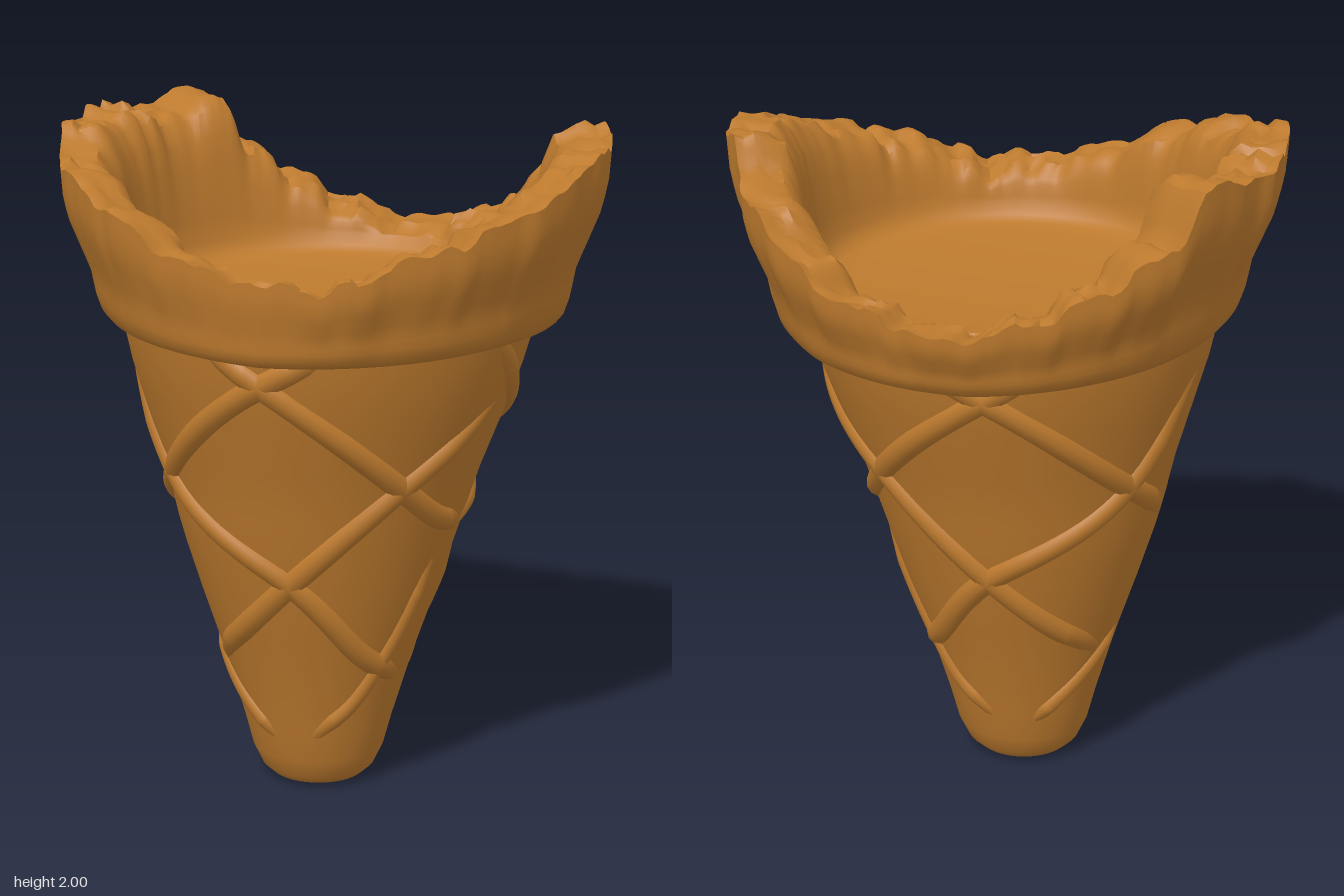
import * as THREE from 'three';
import { toCreasedNormals } from 'three/addons/utils/BufferGeometryUtils.js';

const { lerp, degToRad } = THREE.MathUtils;

// piecewise-linear lookup in [[key, value], ...]
function sample(table, k) {
  if (k <= table[0][0]) return table[0][1];
  for (let i = 1; i < table.length; i++) {
    const [a, va] = table[i - 1], [b, vb] = table[i];
    if (k <= b) return lerp(va, vb, (k - a) / (b - a));
  }
  return table[table.length - 1][1];
}

// repeatable value noise round the circle, -1..1, with n cells
function noise(turn, n, seed) {
  const hash = (i) => {
    const s = Math.sin((((i % n) + n) % n) * 127.1 + seed * 311.7) * 43758.5453;
    return (s - Math.floor(s)) * 2 - 1;
  };
  const t = turn * n, i = Math.floor(t);
  return lerp(hash(i), hash(i + 1), THREE.MathUtils.smoothstep(t - i, 0.25, 0.75));
}

// closed-round surface: point(row, angle) -> [x, y, z]
function roundSurface(rows, cols, point, crease) {
  const pos = [], index = [];
  for (let r = 0; r < rows; r++) {
    for (let c = 0; c < cols; c++) pos.push(...point(r, (c / cols) * Math.PI * 2));
  }
  for (let r = 0; r < rows - 1; r++) {
    for (let c = 0; c < cols; c++) {
      const d = (c + 1) % cols, a = r * cols, b = a + cols;
      index.push(a + c, b + c, a + d, b + c, b + d, a + d);
    }
  }
  const geo = new THREE.BufferGeometry();
  geo.setAttribute('position', new THREE.Float32BufferAttribute(pos, 3));
  geo.setIndex(index);
  geo.computeVertexNormals();
  return crease ? toCreasedNormals(geo, crease) : geo;
}

// cone radius and sideways lean by height
const coneRadius = [[0, 0.1], [0.012, 0.142], [0.04, 0.172], [0.1, 0.2], [0.2, 0.226], [0.4, 0.285],
  [0.6, 0.352], [0.8, 0.415], [1, 0.47], [1.2, 0.537], [1.35, 0.585], [1.48, 0.612]];
const coneLean = [[0, -0.05], [0.8, -0.043], [1.2, -0.022], [1.48, -0.012]];

function conePoint(a, y, offset = 0) {
  const r = sample(coneRadius, y) + offset;
  return new THREE.Vector3(sample(coneLean, y) + r * Math.cos(a), y, r * 0.975 * Math.sin(a));
}

// raised strand following [degrees, height] points on the cone, ends sunk into it
function strand(points, radius, side) {
  const guide = new THREE.CatmullRomCurve3(points.map(([d, y]) => new THREE.Vector3(d * side, y * 100, 0)));
  const path = [];
  for (let i = 0; i <= 40; i++) {
    const t = i / 40, p = guide.getPoint(t);
    const end = Math.min(1, Math.min(t, 1 - t) / 0.15);
    path.push(conePoint(degToRad(p.x), p.y / 100, lerp(-radius, -radius * 0.52, end)));
  }
  return new THREE.TubeGeometry(new THREE.CatmullRomCurve3(path), 64, radius, 12);
}

// broken rim height by angle in degrees (0 = +x, 90 = front)
const rimHeight = [[0, 1.965], [12, 1.93], [20, 1.87], [40, 1.8], [60, 1.72], [75, 1.655], [92, 1.66], [104, 1.72],
  [120, 1.8], [130, 1.845], [150, 1.91], [162, 1.96], [180, 1.98], [222, 1.985], [226, 1.87], [236, 1.77],
  [250, 1.67], [270, 1.61], [290, 1.63], [305, 1.71], [318, 1.8], [330, 1.91], [338, 1.965], [360, 1.965]];
const flare = [[0, 0], [0.1, 0.13], [0.28, 0.26], [0.45, 0.52], [0.65, 0.82], [0.8, 0.95], [1, 1]];

// outer rim radius by angle, widest at the tall broken corner
const rimRadius = [[0, 0.8], [25, 0.79], [45, 0.775], [70, 0.73], [90, 0.712], [110, 0.725], [140, 0.78],
  [180, 0.8], [205, 0.815], [222, 0.83], [236, 0.79], [255, 0.73], [270, 0.725], [290, 0.735], [315, 0.775],
  [340, 0.79], [360, 0.8]];

// wavy lower edge of the collar by angle
const collarBase = [[0, 1.45], [20, 1.455], [90, 1.437], [130, 1.455], [180, 1.48], [225, 1.44], [270, 1.405],
  [315, 1.41], [345, 1.435], [360, 1.45]];

// collar rows: underside, outer wall, crumbled rim, inner wall, floor
function collarPoint(row, a) {
  const turn = a / (Math.PI * 2), deg = turn * 360, cos = Math.cos(a), sin = Math.sin(a);
  const base = sample(collarBase, deg);
  const crumbs = 0.018 * noise(turn, 38, 1) + 0.019 * noise(turn, 83, 2);
  const top = Math.min(2, sample(rimHeight, deg) + crumbs);
  const R = sample(rimRadius, deg) + 0.012 * noise(turn, 44, 5);
  const inner = 0.62 + 0.028 * Math.cos(2 * a) + 0.01 * noise(turn, 30, 6);
  let r, y;
  if (row < 3) {
    r = [0.54, 0.635, 0.658][row];
    y = base + [0.01, -0.005, 0.003][row];
  } else if (row < 15) {
    const t = (row - 3) / 11;
    r = lerp(0.676, R, sample(flare, t));
    y = lerp(base + 0.025, top, t);
  } else if (row < 19) {
    const t = (row - 14) / 5;
    r = lerp(R, inner, t) + 0.007 * noise(turn, 60, row + 9);
    y = top - 0.02 * t + 0.014 * noise(turn, 70, row);
  } else if (row < 25) {
    const t = (row - 19) / 5;
    r = lerp(inner, 0.57, Math.sqrt(t));
    y = lerp(top - 0.035, 1.56, t);
  } else {
    r = [0.553, 0.525, 0.47, 0][row - 25];
    y = [1.525, 1.508, 1.5, 1.498][row - 25];
  }
  return [r * cos - 0.004, y, r * sin];
}

export function createModel() {
  const group = new THREE.Group();
  const wafer = new THREE.MeshStandardMaterial({ color: 0xbd7a2e });
  wafer.name = 'wafer brown';
  const add = (name, geo) => {
    const mesh = new THREE.Mesh(geo, wafer);
    mesh.name = name;
    group.add(mesh);
  };

  // tapered cone with rounded foot
  const heights = [0, 0, 0.012, 0.04, 0.1];
  for (let y = 0.2; y < 1.46; y += 0.08) heights.push(y);
  heights.push(1.48);
  add('cone', roundSurface(heights.length, 80, (row, a) =>
    row ? conePoint(a, heights[row]).toArray() : [-0.05, 0, 0]));

  // broken collar with its hollow
  add('collar', roundSurface(29, 260, collarPoint, 0.8));

  // criss-cross strands, repeated front and back
  const falling = [[165, 1.33], [142, 1.01], [84, 0.72], [48, 0.48], [14, 0.37]];
  const rising = [[11, 1.25], [42, 1.04], [84, 0.73], [112, 0.56], [152, 0.4]];
  const risingLong = [[-19, 1.46], [0, 1.28], [40, 1.05], [84, 0.73], [115, 0.55], [150, 0.42]];
  const upperRight = [[107, 1.46], [88, 1.34], [47, 1.05], [25, 0.92], [1, 0.85]];
  const upperLeft = [[74, 1.46], [96, 1.33], [137, 1.04], [175, 0.84]];
  const lowerLeft = [[168, 0.46], [138, 0.31], [110, 0.19]];
  const lowerRight = [[16, 0.76], [27, 0.52], [45, 0.33], [74, 0.2]];
  for (const [side, label] of [[1, 'front'], [-1, 'back']]) {
    const main = side > 0 ? rising : risingLong;
    for (const points of [falling, main, upperRight, upperLeft]) {
      add(label + 'Strand', strand(points, 0.041, side));
    }
    for (const points of [lowerLeft, lowerRight]) add(label + 'LowerStrand', strand(points, 0.03, side));
  }
  return group;
}
